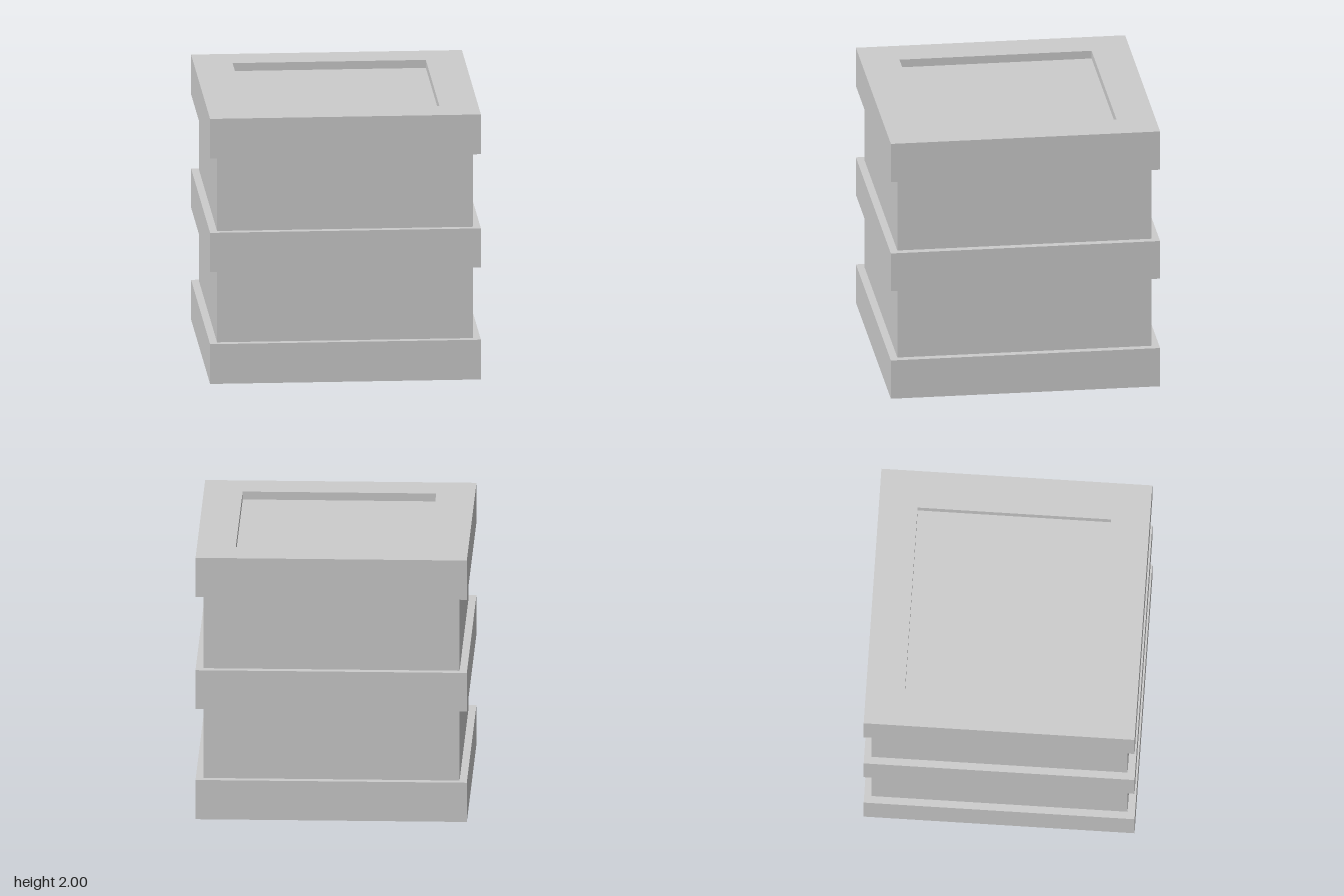
import * as THREE from 'three';

const BAND = 0.995;   // half width of the raised bands
const BODY = 0.94;    // half width of the sunken side panels
const RECESS = 0.71;  // half width of the square recesses in top and bottom
const DEPTH = 0.06;   // depth of those recesses

const material = new THREE.MeshStandardMaterial({ color: 0xcccccc, flatShading: true });

// Sweeps a [half width, height] profile, listed bottom to top, around a square.
function squareSweep(name, profile) {
  const points = profile.map(([half, y]) => new THREE.Vector2(half * Math.SQRT2, y));
  const geometry = new THREE.LatheGeometry(points, 4, Math.PI / 4).toNonIndexed();
  geometry.computeVertexNormals();
  const mesh = new THREE.Mesh(geometry, material);
  mesh.name = name;
  return mesh;
}

export function createModel() {
  const crate = new THREE.Group();
  crate.name = 'crate';

  crate.add(
    // Base band with the recessed underside
    squareSweep('baseBand', [
      [0, DEPTH], [RECESS, DEPTH], [RECESS, 0], [BAND, 0], [BAND, 0.3], [BODY, 0.3],
    ]),
    squareSweep('lowerPanels', [[BODY, 0.3], [BODY, 0.845]]),
    squareSweep('middleBand', [[BODY, 0.845], [BAND, 0.845], [BAND, 1.14], [BODY, 1.14]]),
    squareSweep('upperPanels', [[BODY, 1.14], [BODY, 1.7]]),
    // Top band with the recessed lid
    squareSweep('topBand', [
      [BODY, 1.7], [BAND, 1.7], [BAND, 2], [RECESS, 2], [RECESS, 2 - DEPTH], [0, 2 - DEPTH],
    ]),
  );
  return crate;
}
